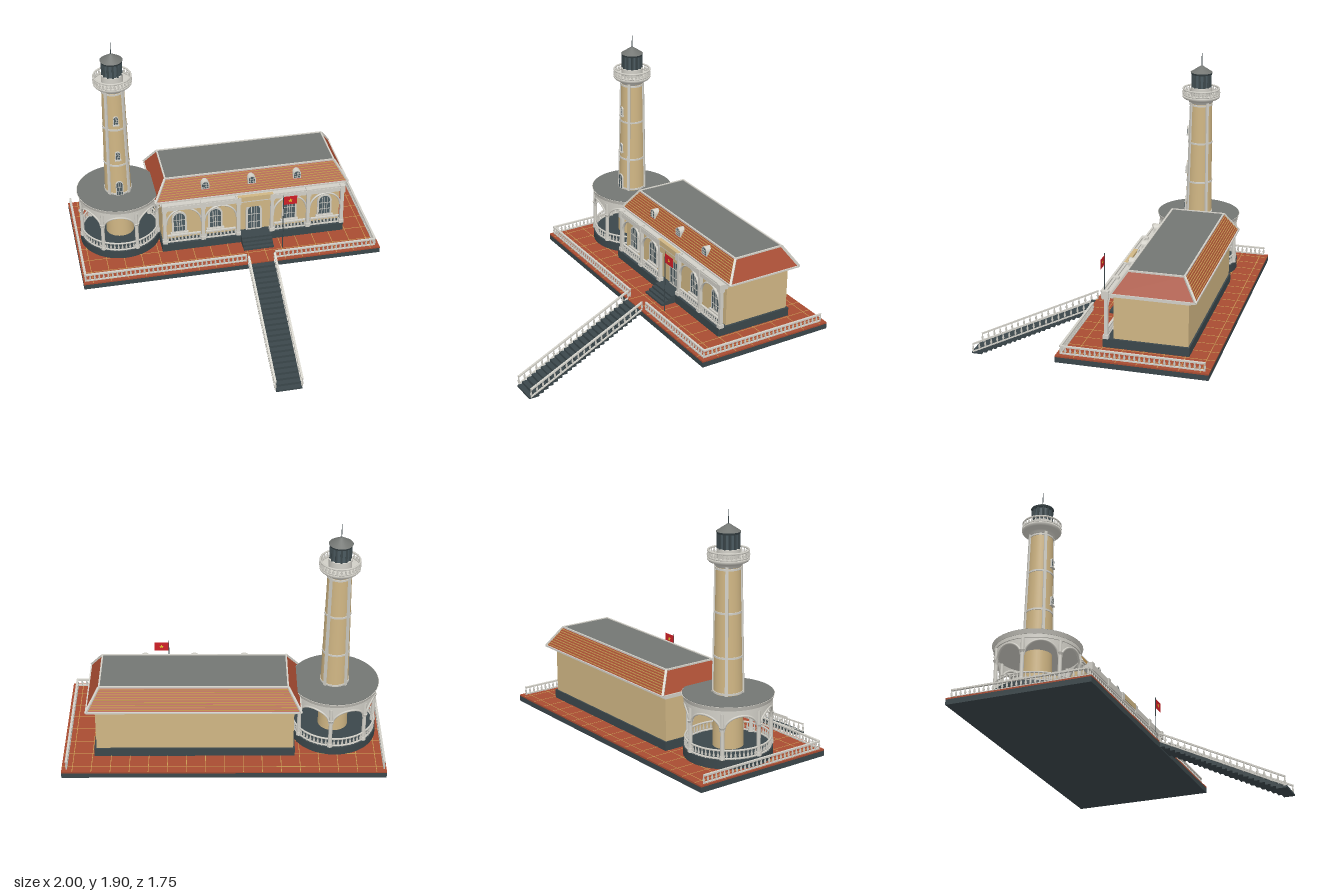
import * as THREE from 'three';
import { mergeGeometries } from 'three/addons/utils/BufferGeometryUtils.js';

const mat = (name, color, side = THREE.FrontSide) => {
  const m = new THREE.MeshStandardMaterial({ color, side });
  m.name = name;
  return m;
};
const V = (x, y, z) => new THREE.Vector3(x, y, z);

export function createModel() {
  const root = new THREE.Group();
  const tan = mat('tan plaster', 0xd0b684), white = mat('pale stone', 0xd2d0c8, THREE.DoubleSide);
  const slate = mat('dark slate', 0x3b474b), red = mat('terracotta', 0xa84c32);
  const grey = mat('grey roof', 0x737673), grout = mat('ochre tile joint', 0xc89a52);
  const glass = mat('window glass', 0x4c5b61);
  const flagRed = mat('flag red', 0xcf1f26, THREE.DoubleSide), yellow = mat('flag yellow', 0xf0d030, THREE.DoubleSide);

  const add = (name, geo, m, x = 0, y = 0, z = 0) => {
    const o = new THREE.Mesh(geo, m);
    o.name = name;
    o.position.set(x, y, z);
    root.add(o);
    return o;
  };
  // box given by its limits
  const box = (name, m, x0, x1, y0, y1, z0, z1) =>
    add(name, new THREE.BoxGeometry(x1 - x0, y1 - y0, z1 - z0), m, (x0 + x1) / 2, (y0 + y1) / 2, (z0 + z1) / 2);
  const cyl = (name, m, rt, rb, y0, y1, x, z, n = 32) =>
    add(name, new THREE.CylinderGeometry(rt, rb, y1 - y0, n), m, x, (y0 + y1) / 2, z);
  // bar between two points
  const beam = (name, m, a, b, w, h) => {
    const o = add(name, new THREE.BoxGeometry(w, h, a.distanceTo(b)), m);
    o.position.copy(a).lerp(b, 0.5);
    o.lookAt(b);
    return o;
  };
  // turned posts standing on a list of points
  const balusters = (name, pts, h) => {
    const prof = [[0.005, 0], [0.003, 0.15], [0.008, 0.4], [0.003, 0.75], [0.006, 1]].map(p => new THREE.Vector2(p[0], p[1] * h));
    const g = new THREE.LatheGeometry(prof, 6);
    add(name, mergeGeometries(pts.map(p => g.clone().translate(p.x, p.y, p.z))), white);
  };
  const railing = (name, a, b, h, gap = 0.03) => {
    const up = V(0, h - 0.005, 0), n = Math.max(1, Math.round(a.distanceTo(b) / gap));
    beam(name + 'TopRail', white, a.clone().add(up), b.clone().add(up), 0.014, 0.01);
    beam(name + 'BottomRail', white, a.clone().setY(a.y + 0.005), b.clone().setY(b.y + 0.005), 0.01, 0.008);
    balusters(name + 'Balusters', Array.from({ length: n + 1 }, (_, i) => a.clone().lerp(b, i / n)), h);
  };
  const archShape = (w, h) => {
    const s = new THREE.Shape();
    s.moveTo(-w / 2, 0);
    s.lineTo(w / 2, 0);
    s.lineTo(w / 2, h - w / 2);
    s.absarc(0, h - w / 2, w / 2, 0, Math.PI, false);
    return s;
  };
  // arched opening facing the front: frame, glass and glazing bars
  const archWindow = (name, x, y, z, w, h, d = 0.01) => {
    const ext = (s, depth) => new THREE.ExtrudeGeometry(s, { depth, bevelEnabled: false, curveSegments: 10 });
    add(name + 'Frame', ext(archShape(w, h), d), white, x, y, z);
    const t = w * 0.12;
    add(name + 'Glass', ext(archShape(w - 2 * t, h - 2 * t), 0.002), glass, x, y + t, z + d);
    const f = z + d + 0.002, b = w * 0.035;
    for (const dx of [-w / 6, 0, w / 6]) box(name + 'Bar', white, x + dx - b / 2, x + dx + b / 2, y + t, y + h - 1.6 * t, f, f + 0.002);
    for (const k of [0.3, 0.6]) box(name + 'Bar', white, x - w / 2 + t, x + w / 2 - t, y + h * k, y + h * k + b, f, f + 0.002);
  };

  // terrace with tiled floor
  box('terraceBase', slate, -1, 1, 0.37, 0.404, -0.88, 0.055);
  box('terraceFloor', red, -1, 1, 0.404, 0.414, -0.88, 0.055);
  for (let x = -0.94; x < 1; x += 0.117) box('floorJoint', grout, x, x + 0.004, 0.413, 0.415, -0.88, 0.055);
  for (let z = -0.83; z < 0.05; z += 0.128) box('floorJoint', grout, -1, 1, 0.413, 0.415, z, z + 0.004);
  railing('frontLeftRailing', V(0.285, 0.415, 0.028), V(0.97, 0.415, 0.028), 0.055);
  railing('frontRightRailing', V(-0.985, 0.415, 0.028), V(0.085, 0.415, 0.028), 0.055);
  for (const x of [-0.985, 0.97]) railing('sideRailing', V(x, 0.415, -0.85), V(x, 0.415, 0.028), 0.055);

  // long outer stair
  const n = 24, rise = 0.41 / n, run = 0.815 / n;
  for (let i = 0; i < n; i++)
    box('stairStep', slate, 0.1, 0.27, Math.max(0, 0.41 - (i + 2) * rise), 0.41 - i * rise - 0.004, 0.055 + i * run, 0.057 + (i + 1) * run);
  for (const x of [0.097, 0.273]) railing('stairRailing', V(x, 0.41, 0.05), V(x, 0.012, 0.86), 0.063, 0.047);

  // main house
  box('housePlinth', slate, -0.44, 0.805, 0.414, 0.47, -0.72, -0.185);
  box('houseWalls', tan, -0.43, 0.79, 0.47, 0.76, -0.71, -0.25);
  box('lowerCornice', white, -0.44, 0.8, 0.742, 0.754, -0.72, -0.24);
  box('upperCornice', white, -0.455, 0.825, 0.76, 0.776, -0.745, -0.245);
  for (let i = 0; i < 4; i++) box('porchStep', slate, 0.095, 0.3, 0.414, 0.428 + i * 0.014, -0.19, -0.085 - i * 0.024);

  // hipped roof with a flat top
  const roof = new THREE.BoxGeometry(1.31, 0.13, 0.52);
  const p = roof.attributes.position;
  for (let i = 0; i < p.count; i++) if (p.getY(i) > 0) {
    p.setX(i, p.getX(i) * 0.575 / 0.655);
    p.setZ(i, p.getZ(i) * 0.173 / 0.26);
  }
  roof.computeVertexNormals();
  add('hipRoof', roof, [red, red, grey, red, red, red], 0.185, 0.84, -0.5);
  const rp = (sx, sz, t) => V(0.185 + sx * (0.655 - 0.08 * t), 0.775 + 0.13 * t, -0.5 + sz * (0.26 - 0.087 * t));
  for (const s of [-1, 1]) {
    for (let i = 1; i < 10; i++) beam('tileCourse', grout, rp(-1, s, i / 10), rp(1, s, i / 10), 0.005, 0.005);
    for (const e of [0, 1]) beam('roofEdge', white, rp(-1, s, e), rp(1, s, e), 0.01, 0.01);
    for (const e of [0, 1]) beam('roofEndEdge', white, rp(s, -1, e), rp(s, 1, e), 0.01, 0.01);
    for (const x of [-1, 1]) beam('roofHip', white, rp(x, s, 0), rp(x, s, 1), 0.014, 0.014);
  }
  for (const x of [-0.13, 0.185, 0.495]) archWindow('dormer', x, 0.825, -0.32, 0.055, 0.06, 0.05);

  // porch arcade
  box('porchEntablature', white, -0.43, 0.8, 0.735, 0.765, -0.25, -0.19);
  box('porchParapetRail', white, -0.43, 0.8, 0.765, 0.775, -0.205, -0.193);
  const posts = [-0.42, -0.16, 0.08, 0.31, 0.56, 0.795];
  for (const x of posts) {
    box('porchPost', white, x - 0.011, x + 0.011, 0.47, 0.74, -0.216, -0.194);
    box('porchPostBase', white, x - 0.016, x + 0.016, 0.47, 0.495, -0.222, -0.188);
    box('porchPostCapital', white, x - 0.016, x + 0.016, 0.725, 0.778, -0.222, -0.184);
  }
  for (let i = 0; i < 5; i++) {
    const a = posts[i], b = posts[i + 1], c = (a + b) / 2;
    if (i === 2) continue;
    const arch = add('porchArch', new THREE.TorusGeometry((b - a) / 2 - 0.012, 0.006, 6, 24, Math.PI), white, c, 0.618, -0.205);
    arch.scale.z = 1.6;
    railing('porchRailing', V(a + 0.02, 0.47, -0.205), V(b - 0.02, 0.47, -0.205), 0.06, 0.024);
  }
  for (const x of [-0.315, -0.07, 0.44, 0.685]) {
    archWindow('houseWindow', x, 0.52, -0.25, 0.1, 0.165);
    box('windowSill', white, x - 0.06, x + 0.06, 0.51, 0.522, -0.25, -0.23);
  }
  archWindow('frontDoor', 0.195, 0.47, -0.25, 0.11, 0.21);
  box('entrancePanel', tan, 0.09, 0.3, 0.69, 0.745, -0.215, -0.196);
  box('entranceCap', tan, 0.075, 0.315, 0.745, 0.78, -0.213, -0.186);

  // round pavilion at the tower foot
  const cx = -0.69, cz = -0.44, R = 0.258;
  cyl('pavilionPlinth', slate, 0.27, 0.27, 0.414, 0.47, cx, cz, 48);
  cyl('pavilionBeam', white, 0.265, 0.265, 0.75, 0.772, cx, cz, 48);
  cyl('pavilionCornice', white, 0.278, 0.268, 0.772, 0.798, cx, cz, 48);
  cyl('pavilionRoof', grey, 0.274, 0.274, 0.796, 0.801, cx, cz, 48);
  const at = (a, y, r = R) => V(cx + r * Math.sin(a), y, cz + r * Math.cos(a));
  const step = Math.PI * 2 / 7, start = -0.576;
  for (let i = 0; i < 7; i++) {
    const a = start + i * step, q = at(a, 0);
    cyl('pavilionColumn', white, 0.011, 0.013, 0.47, 0.75, q.x, q.z, 12);
    cyl('columnBase', white, 0.016, 0.018, 0.47, 0.495, q.x, q.z, 12);
    cyl('columnCapital', white, 0.02, 0.013, 0.655, 0.67, q.x, q.z, 12);
    // curved spandrel above an arch, from a bent sheet
    const g = new THREE.PlaneGeometry(1, 1, 24, 1), gp = g.attributes.position;
    const curve = [];
    for (let k = 0; k < gp.count; k++) {
      const u = gp.getX(k) * 2, low = 0.64 + 0.095 * Math.sqrt(Math.max(0, 1 - u * u));
      const v = at(a + step / 2 + u * (step / 2 - 0.03), gp.getY(k) > 0 ? 0.752 : low);
      gp.setXYZ(k, v.x, v.y, v.z);
      if (gp.getY(k) < 0.752 && k > 24) curve.push(v);
    }
    g.computeVertexNormals();
    add('pavilionSpandrel', g, white);
    add('pavilionArch', new THREE.TubeGeometry(new THREE.CatmullRomCurve3(curve), 32, 0.007, 6), white);
  }
  for (const y of [0.476, 0.526]) add('pavilionRail', new THREE.TorusGeometry(R, 0.006, 6, 56), white, cx, y, cz).rotation.x = Math.PI / 2;
  balusters('pavilionBalusters', Array.from({ length: 63 }, (_, i) => at(start + i * step / 9, 0.47)), 0.056);

  // tapering tower with ribs and bands
  const tr = y => 0.094 - 0.021 * (y - 0.47) / 1.11;
  cyl('towerShaft', tan, tr(1.58), tr(0.47), 0.47, 1.58, cx, cz, 32);
  for (let i = 0; i < 4; i++) {
    const a = Math.PI / 4 + i * Math.PI / 2;
    beam('towerRib', white, at(a, 0.8, tr(0.8)), at(a, 1.58, tr(1.58)), 0.018, 0.018);
  }
  for (const y of [0.81, 1.03, 1.3, 1.56]) cyl('towerBand', white, tr(y) + 0.004, tr(y) + 0.004, y - 0.006, y + 0.006, cx, cz);
  archWindow('towerDoor', cx, 0.8, cz + 0.08, 0.05, 0.11, 0.012);
  for (const y of [1.08, 1.345]) {
    archWindow('towerWindow', cx, y, cz + tr(y) - 0.006, 0.034, 0.06, 0.014);
    box('towerWindowSill', white, cx - 0.021, cx + 0.021, y - 0.008, y, cz + 0.06, cz + tr(y) + 0.014);
  }

  // gallery, lantern and spire
  const flare = [[0.07, 1.565], [0.08, 1.575], [0.086, 1.59], [0.115, 1.6], [0.124, 1.61], [0.124, 1.622], [0, 1.622]];
  add('galleryDeck', new THREE.LatheGeometry(flare.map(q => new THREE.Vector2(...q)), 32), white, cx, 0, cz);
  for (const y of [1.628, 1.664]) add('galleryRail', new THREE.TorusGeometry(0.119, 0.006, 6, 40), white, cx, y, cz).rotation.x = Math.PI / 2;
  balusters('galleryBalusters', Array.from({ length: 30 }, (_, i) => at(i * Math.PI / 15, 1.62, 0.119)), 0.044);
  cyl('lanternBase', white, 0.07, 0.07, 1.62, 1.675, cx, cz);
  cyl('lanternGlass', glass, 0.061, 0.061, 1.675, 1.77, cx, cz, 12);
  for (let i = 0; i < 12; i++) beam('lanternMullion', slate, at(i * Math.PI / 6, 1.675, 0.061), at(i * Math.PI / 6, 1.77, 0.061), 0.012, 0.012);
  cyl('lanternEave', slate, 0.073, 0.068, 1.762, 1.775, cx, cz);
  cyl('lanternRoof', grey, 0.008, 0.073, 1.775, 1.818, cx, cz, 24);
  cyl('spire', slate, 0.0015, 0.003, 1.818, 1.903, cx, cz, 6);

  // flagpole and flag
  cyl('flagpole', slate, 0.0025, 0.0035, 0.414, 0.84, 0.355, -0.07, 8);
  box('flag', flagRed, 0.357, 0.447, 0.765, 0.828, -0.071, -0.069);
  const star = new THREE.Shape(Array.from({ length: 10 }, (_, i) => {
    const r = i % 2 ? 0.007 : 0.017, a = Math.PI / 2 + i * Math.PI / 5;
    return new THREE.Vector2(r * Math.cos(a), r * Math.sin(a));
  }));
  for (const z of [-0.0685, -0.0715]) add('flagStar', new THREE.ShapeGeometry(star), yellow, 0.402, 0.796, z);
  return root;
}
